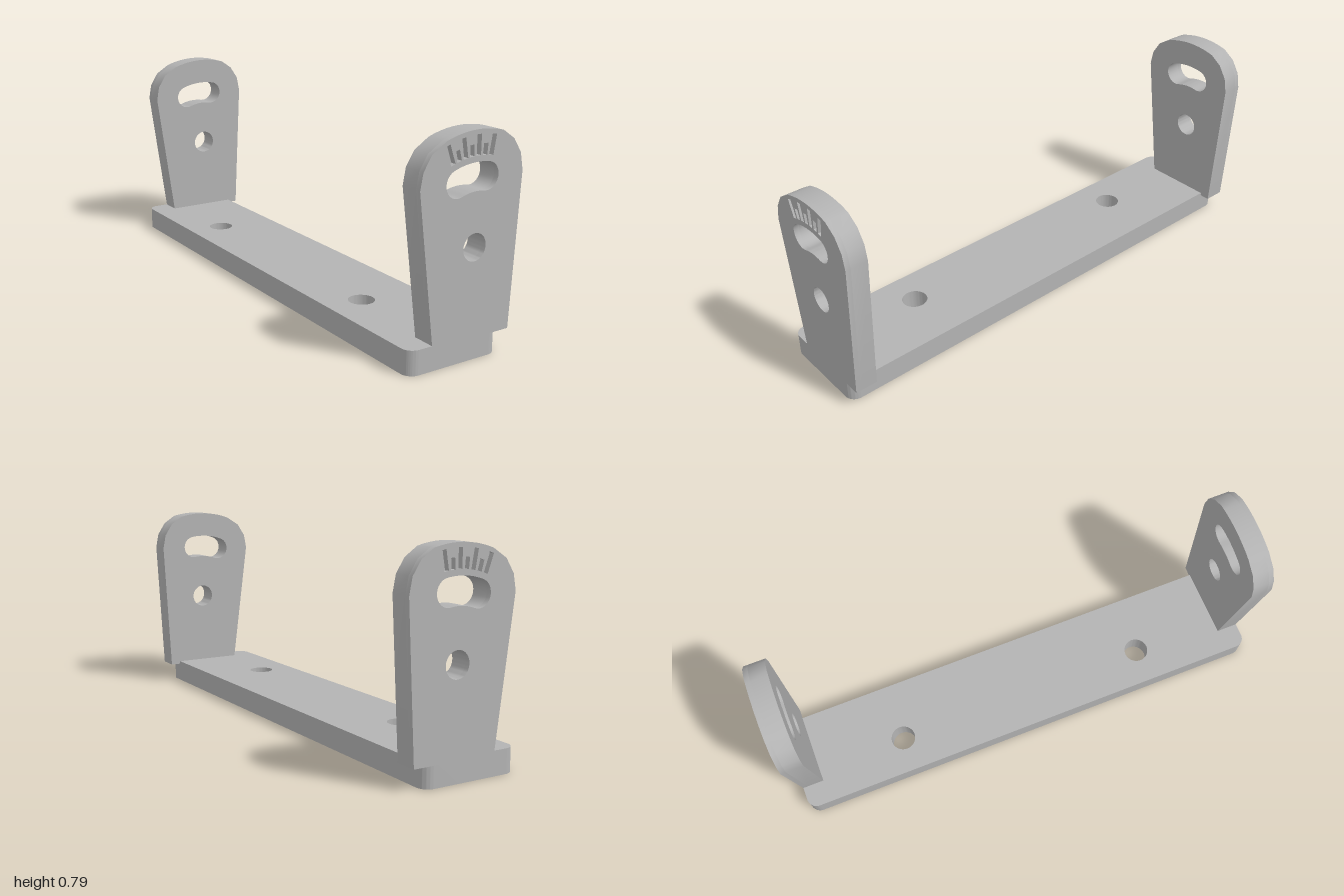
import * as THREE from 'three';
import { toCreasedNormals } from 'three/addons/utils/BufferGeometryUtils.js';

const PIVOT = { x: 0.0315, y: 0.399 };
const THICK = 0.087;
const ENGRAVE = 0.02;
const deg = Math.PI / 180;

// Point at a radius and angle (clockwise from straight up) around the pivot hole
function polar(r, a) {
  return new THREE.Vector2(PIVOT.x + r * Math.sin(a * deg), PIVOT.y + r * Math.cos(a * deg));
}

function circlePath(x, y, r) {
  return new THREE.Path().absarc(x, y, r, 0, Math.PI * 2, true);
}

function extrude(shape, depth) {
  const geo = new THREE.ExtrudeGeometry(shape, { depth, bevelEnabled: false, curveSegments: 24 });
  return toCreasedNormals(geo, 35 * deg);
}

// Curved slot with round ends, spanning -20 to 10 degrees
function slotPath() {
  const mid = 0.239, half = 0.0485, from = -20, to = 10, pts = [];
  const n = 14;
  for (let i = 0; i <= n; i++) pts.push(polar(mid + half, from + (to - from) * i / n));
  const cap = (angle, start) => {
    const c = polar(mid, angle);
    for (let i = 1; i < n; i++) {
      const t = (angle + start + 180 * i / n) * deg;
      pts.push(new THREE.Vector2(c.x + half * Math.sin(t), c.y + half * Math.cos(t)));
    }
  };
  cap(to, 0);
  for (let i = 0; i <= n; i++) pts.push(polar(mid - half, to + (from - to) * i / n));
  cap(from, 180);
  return new THREE.Path(pts);
}

// One radial graduation mark
function tickPath(angle, length) {
  const w = 0.0095, r0 = 0.308;
  const side = new THREE.Vector2(Math.cos(angle * deg), -Math.sin(angle * deg)).multiplyScalar(w);
  const a = polar(r0, angle), b = polar(r0 + length, angle);
  return new THREE.Path([
    a.clone().sub(side), b.clone().sub(side), b.clone().add(side), a.clone().add(side),
  ]);
}

// Tapered upright outline with an arched top, slot and pivot hole
function uprightShape(withTicks) {
  const pts = [
    [-0.133, 0.078], [0.199, 0.078], [0.229, 0.634], [0.217, 0.695], [0.184, 0.746],
  ].map(([x, y]) => new THREE.Vector2(x, y));
  for (let i = 0; i <= 10; i++) pts.push(polar(0.394, 15.3 - 35.7 * i / 10));
  [[-0.161, 0.733], [-0.194, 0.681], [-0.205, 0.622]].forEach(([x, y]) => pts.push(new THREE.Vector2(x, y)));
  const shape = new THREE.Shape(pts);
  shape.holes.push(circlePath(PIVOT.x, PIVOT.y, 0.0485), slotPath());
  if (withTicks) {
    for (let i = 0; i < 7; i++) shape.holes.push(tickPath(-20 + 5 * i, i % 2 ? 0.039 : 0.07));
  }
  return shape;
}

// Rounded base plate outline with two mounting holes
function baseShape() {
  const x0 = -0.23, x1 = 0.157, r = 0.042;
  const s = new THREE.Shape();
  s.absarc(x1 - r, -1 + r, r, -Math.PI / 2, 0, false);
  s.absarc(x1 - r, 1 - r, r, 0, Math.PI / 2, false);
  s.absarc(x0 + r, 1 - r, r, Math.PI / 2, Math.PI, false);
  s.absarc(x0 + r, -1 + r, r, Math.PI, Math.PI * 1.5, false);
  s.closePath();
  for (const z of [-0.54, 0.54]) s.holes.push(circlePath(-0.084, z, 0.05));
  return s;
}

export function createModel() {
  const model = new THREE.Group();
  model.name = 'mountingBracket';
  const metal = new THREE.MeshStandardMaterial({ color: 0xb3b3b3 });
  metal.name = 'grey metal';

  const base = new THREE.Mesh(extrude(baseShape(), 0.09).rotateX(-Math.PI / 2), metal);
  base.name = 'basePlate';
  model.add(base);

  // Each upright is a solid core plus an outer layer cut by the engraved scale
  const coreGeo = extrude(uprightShape(false), THICK - ENGRAVE);
  const scaleGeo = extrude(uprightShape(true), ENGRAVE);
  for (const front of [true, false]) {
    const upright = new THREE.Group();
    upright.name = front ? 'frontUpright' : 'backUpright';
    const core = new THREE.Mesh(coreGeo, metal);
    core.name = 'uprightCore';
    core.position.z = front ? 1 - THICK : -1 + ENGRAVE;
    const scale = new THREE.Mesh(scaleGeo, metal);
    scale.name = 'engravedScaleLayer';
    scale.position.z = front ? 1 - ENGRAVE : -1;
    upright.add(core, scale);
    model.add(upright);
  }

  // Front corner fill where the upright meets the base flush
  for (const z of [1 - THICK / 2, -1 + THICK / 2]) {
    const foot = new THREE.Mesh(new THREE.BoxGeometry(0.24, 0.08, THICK), metal);
    foot.name = 'uprightFoot';
    foot.position.set(-0.01, 0.04, z);
    model.add(foot);
  }
  return model;
}
